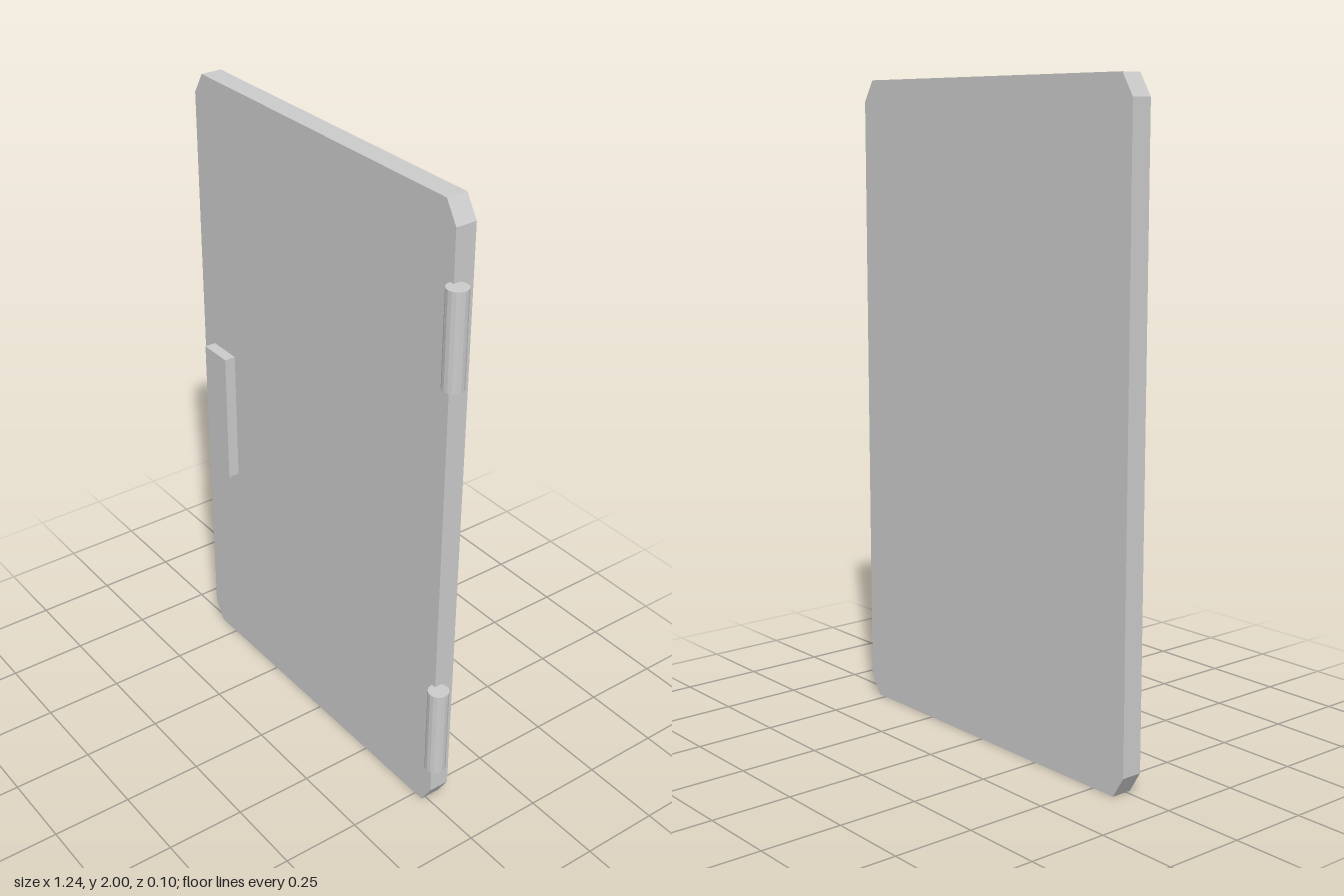
import * as THREE from 'three';

export function createModel() {
  const group = new THREE.Group();
  const material = new THREE.MeshStandardMaterial({ color: 0xcccccc, flatShading: true });

  function add(name, geometry, x, y, z) {
    const mesh = new THREE.Mesh(geometry, material);
    mesh.name = name;
    mesh.position.set(x, y, z);
    group.add(mesh);
  }

  // Door panel with clipped corners
  const left = -0.622, right = 0.572, height = 2, cutX = 0.04, cutY = 0.065;
  const back = -0.051, front = 0.015;
  const outline = new THREE.Shape([
    [left + cutX, 0], [right - cutX, 0], [right, cutY], [right, height - cutY],
    [right - cutX, height], [left + cutX, height], [left, height - cutY], [left, cutY],
  ].map(([x, y]) => new THREE.Vector2(x, y)));
  add('doorPanel', new THREE.ExtrudeGeometry(outline, { depth: front - back, bevelEnabled: false }), 0, 0, back);

  // Flat handle plate on the front
  add('handle', new THREE.BoxGeometry(0.114, 0.436, 0.036), -0.51, 0.9, front + 0.018);

  // Hinge barrels on the other edge
  for (const [name, y] of [['lowerHinge', 0.327], ['upperHinge', 1.635]]) {
    add(name, new THREE.CylinderGeometry(0.032, 0.032, 0.292, 16), 0.59, y, 0.017);
  }

  return group;
}
